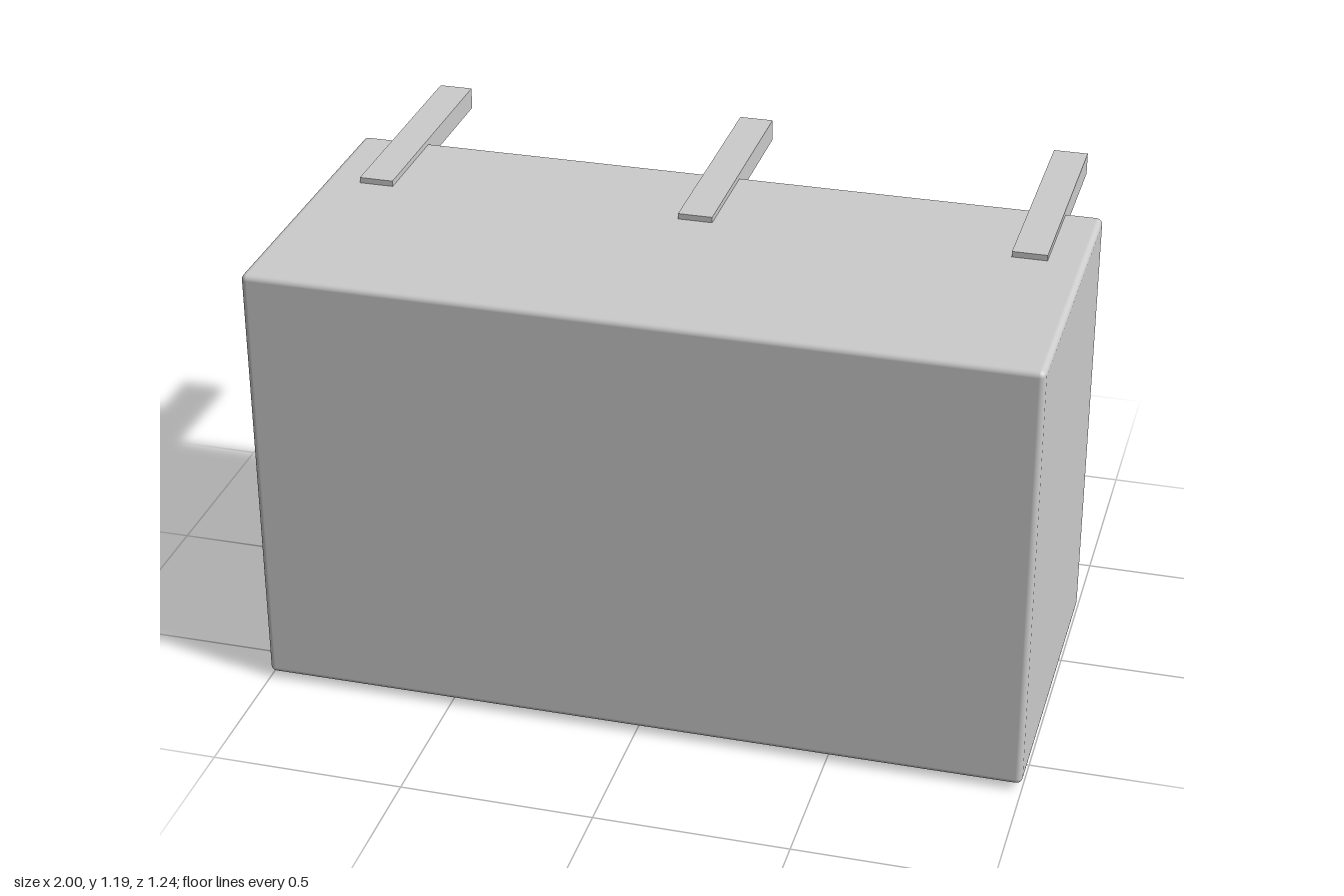
import * as THREE from 'three';
import { RoundedBoxGeometry } from 'three/addons/geometries/RoundedBoxGeometry.js';

export function createModel() {
  const model = new THREE.Group();
  model.name = 'wallBox';
  const material = new THREE.MeshStandardMaterial({ color: 0xcccccc });

  // Adds a mesh spanning the given bounds in y and z, centred on x
  const addPart = (name, geometry, x, [y0, y1], [z0, z1]) => {
    const mesh = new THREE.Mesh(geometry, material);
    mesh.name = name;
    mesh.position.set(x, (y0 + y1) / 2, (z0 + z1) / 2);
    model.add(mesh);
  };

  // Main body with softly rounded edges
  const bodyY = [0.016, 1.178], bodyZ = [-0.268, 0.618];
  addPart('body',
    new RoundedBoxGeometry(2, bodyY[1] - bodyY[0], bodyZ[1] - bodyZ[0], 3, 0.016),
    0, bodyY, bodyZ);

  // Three arms let into the top and reaching out behind
  const armY = [1.135, 1.193], armZ = [-0.618, 0.025];
  const armGeometry = new THREE.BoxGeometry(0.09, armY[1] - armY[0], armZ[1] - armZ[0]);
  for (const x of [-0.86, 0, 0.86]) addPart('mountingArm', armGeometry, x, armY, armZ);

  // Row of thin slats under the body
  const slatY = [0, 0.03], slatZ = [-0.215, 0.545];
  const slatGeometry = new THREE.BoxGeometry(0.055, slatY[1] - slatY[0], slatZ[1] - slatZ[0]);
  for (let i = 0; i < 8; i++) addPart('bottomSlat', slatGeometry, -0.81 + i * 0.2224, slatY, slatZ);

  return model;
}
